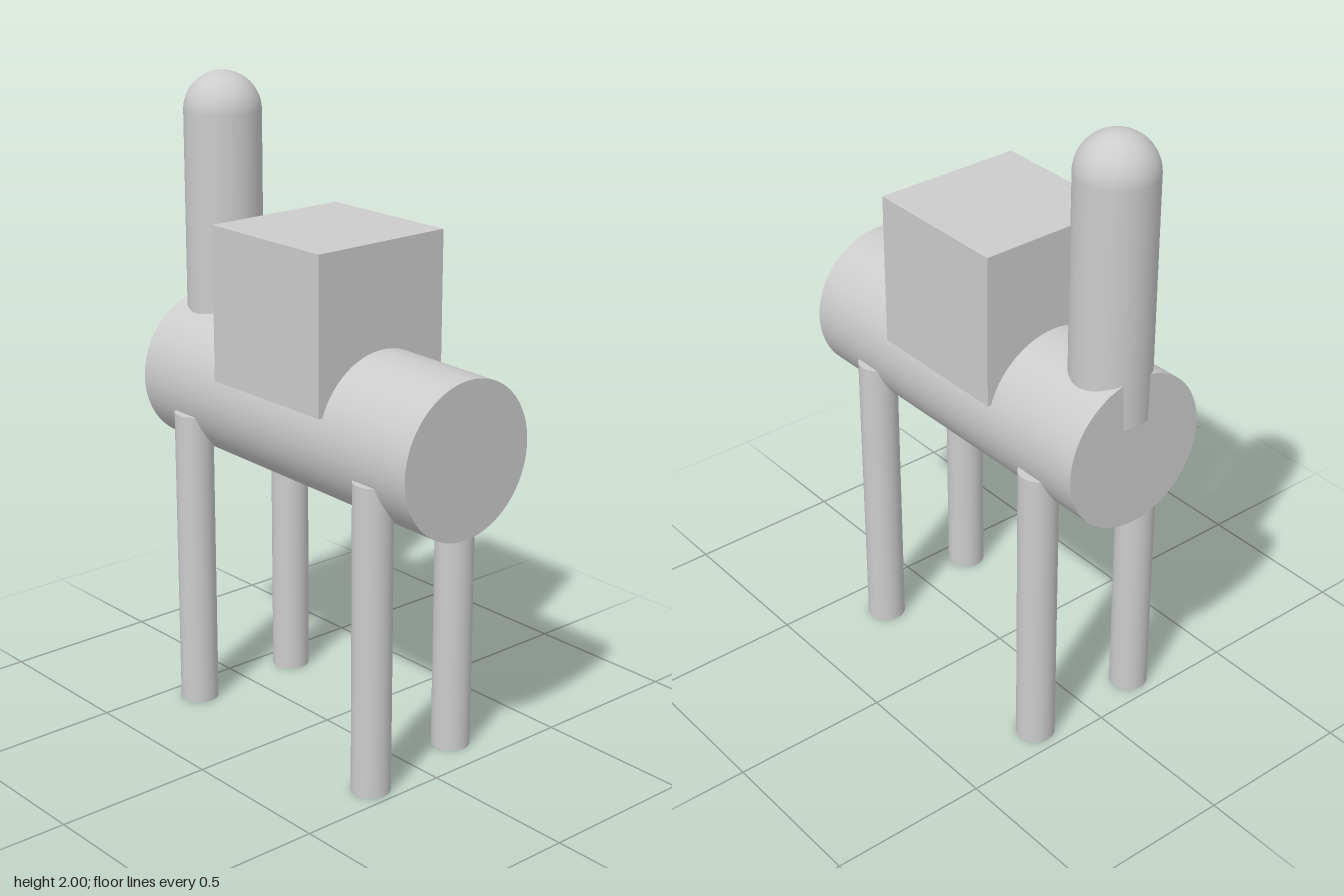
import * as THREE from 'three';

export function createModel() {
  const group = new THREE.Group();
  const material = new THREE.MeshStandardMaterial({ color: 0xcccccc });

  const add = (name, geometry, x, y, z) => {
    const mesh = new THREE.Mesh(geometry, material);
    mesh.name = name;
    mesh.position.set(x, y, z);
    group.add(mesh);
    return mesh;
  };

  // Barrel body, tipped very slightly down towards +x
  const body = add('body', new THREE.CylinderGeometry(0.24, 0.24, 1.2, 64), 0, 1.043, 0);
  body.rotation.z = Math.PI / 2 - 0.0145;

  // Box load sunk into the back
  add('saddleBox', new THREE.BoxGeometry(0.48, 0.48, 0.48), 0, 1.36, 0);

  // Upright neck with a round head
  add('neck', new THREE.CylinderGeometry(0.12, 0.12, 0.74, 48), -0.488, 1.51, 0);
  add('head', new THREE.SphereGeometry(0.12, 48, 24, 0, Math.PI * 2, 0, Math.PI / 2), -0.488, 1.88, 0);

  // Four legs; one of them stands a little further in
  const legs = [
    ['frontRightLeg', -0.41, 0.193],
    ['backRightLeg', -0.41, -0.193],
    ['frontLeftLeg', 0.42, 0.193],
    ['backLeftLeg', 0.36, -0.193],
  ];
  const legGeometry = new THREE.CylinderGeometry(0.06, 0.06, 0.97, 40);
  for (const [name, x, z] of legs) add(name, legGeometry, x, 0.485, z);

  return group;
}
